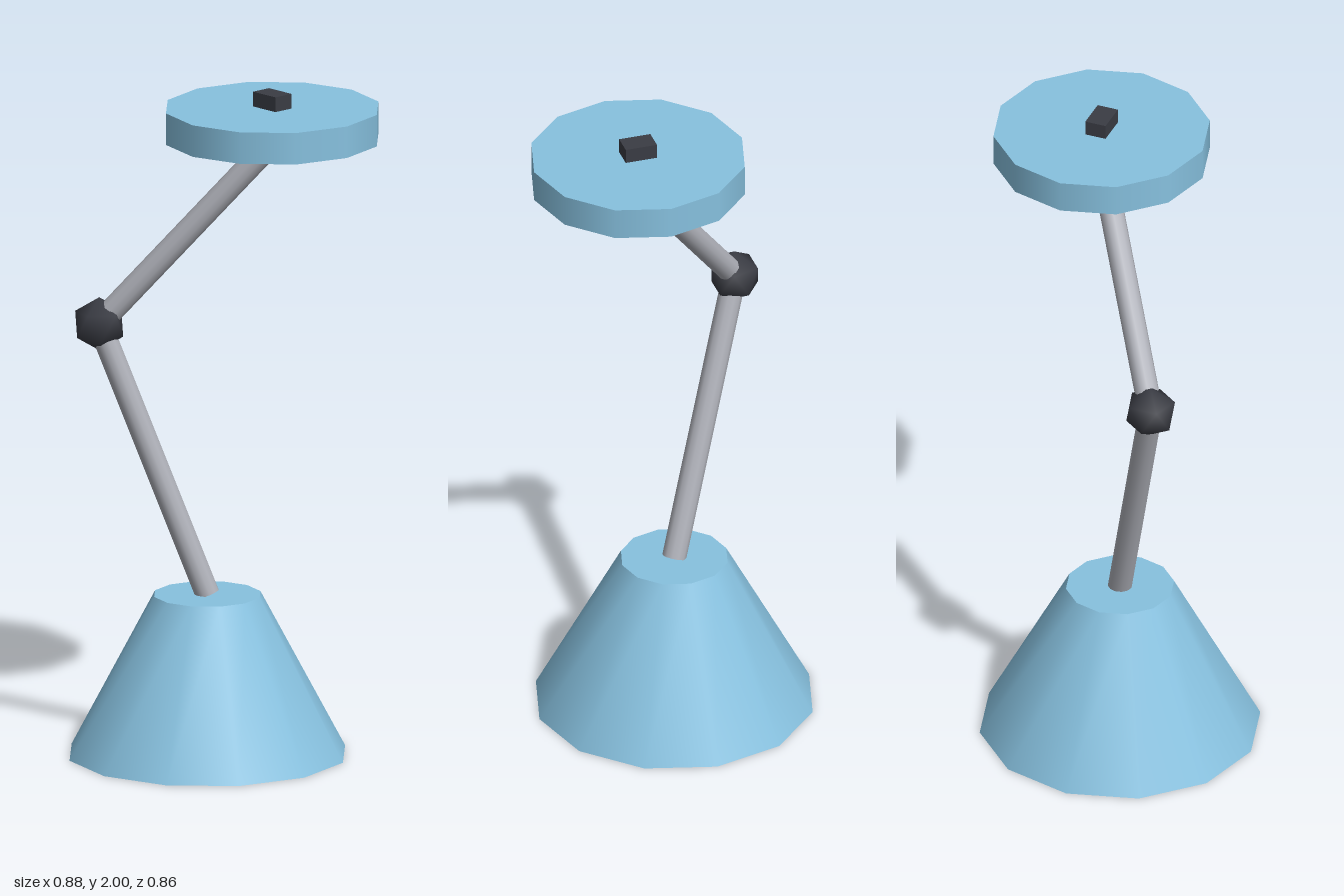
import * as THREE from 'three';
import { mergeVertices } from 'three/addons/utils/BufferGeometryUtils.js';

const paint = (color, side = THREE.FrontSide) => new THREE.MeshStandardMaterial({ color, side });

export function createModel() {
  const group = new THREE.Group();
  const blue = paint(0x87c1df);
  const dark = paint(0x3a3c44);
  const steel = paint(0xb0b2ba);
  const tan = paint(0xe6cc94);

  const add = (name, geometry, material, x = 0, y = 0, z = 0) => {
    const mesh = new THREE.Mesh(geometry, material);
    mesh.name = name;
    mesh.position.set(x, y, z);
    group.add(mesh);
    return mesh;
  };

  // Pivot points of the arm
  const foot = new THREE.Vector3(-0.03, 0.48, 0.01);
  const elbow = new THREE.Vector3(-0.28, 1.285, 0.21);
  const tip = new THREE.Vector3(0.12, 1.85, -0.11);

  // Straight rod between two points
  const rod = (name, a, b, radius) => {
    const dir = b.clone().sub(a);
    const mid = a.clone().add(b).multiplyScalar(0.5);
    const mesh = add(name, new THREE.CylinderGeometry(radius, radius, dir.length(), 12), steel, mid.x, mid.y, mid.z);
    mesh.quaternion.setFromUnitVectors(new THREE.Vector3(0, 1, 0), dir.normalize());
  };

  // Tapered base: open cone wall, top cap and tan underside pad
  const wall = new THREE.CylinderGeometry(0.16, 0.415, 0.48, 12, 1, true);
  add('base', wall, blue, foot.x, 0.24, foot.z);
  add('baseTop', new THREE.CircleGeometry(0.16, 12).rotateX(-Math.PI / 2), blue, foot.x, 0.48, foot.z);
  add('basePad', new THREE.CircleGeometry(0.415, 12).rotateX(Math.PI / 2), tan, foot.x, 0, foot.z);

  // Two arm sections
  rod('lowerArm', foot, elbow, 0.036);
  rod('upperArm', elbow, tip, 0.036);

  // Elbow joint: icosahedron standing on a corner, smooth shaded
  let ball = new THREE.IcosahedronGeometry(0.08, 0);
  ball.rotateZ(-Math.atan(2 / (1 + Math.sqrt(5))));
  ball.deleteAttribute('normal');
  ball.deleteAttribute('uv');
  ball = mergeVertices(ball, 1e-4);
  ball.computeVertexNormals();
  add('elbowJoint', ball, dark, elbow.x, elbow.y, elbow.z);

  // Flat round head with a small switch on top
  add('head', new THREE.CylinderGeometry(0.32, 0.32, 0.095, 12), blue, tip.x, 1.908, tip.z);
  add('switch', new THREE.BoxGeometry(0.096, 0.05, 0.064), dark, tip.x, 1.975, tip.z);

  return group;
}
